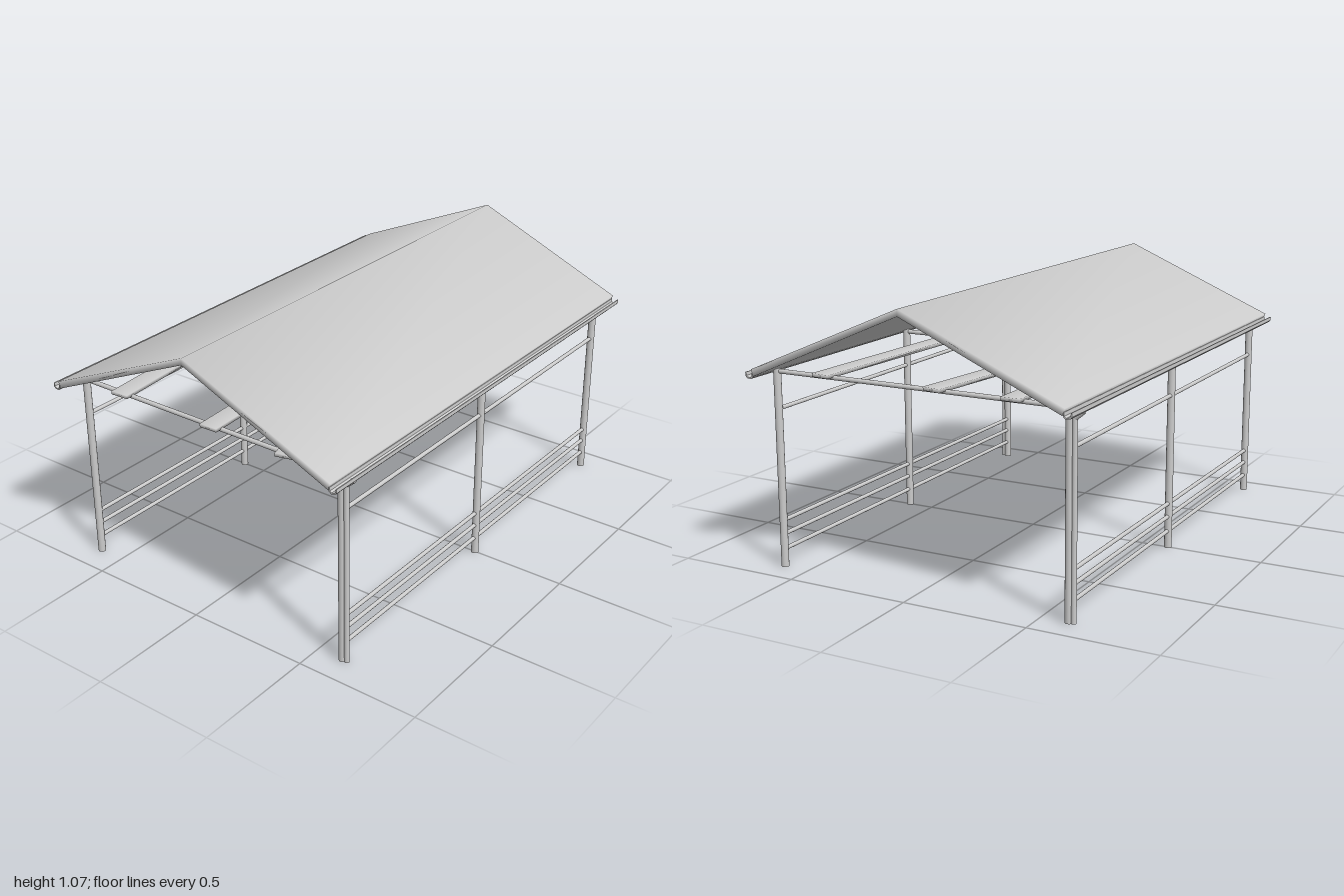
import * as THREE from 'three';
import { mergeVertices } from 'three/addons/utils/BufferGeometryUtils.js';

const material = new THREE.MeshStandardMaterial({ color: 0xcccccc, side: THREE.DoubleSide });
const UP = new THREE.Vector3(0, 1, 0);

// Weld corners so normals blend across edges
function smooth(geo) {
  geo.deleteAttribute('normal');
  geo.deleteAttribute('uv');
  const welded = mergeVertices(geo, 1e-4);
  welded.computeVertexNormals();
  return welded;
}

function add(parent, name, geo) {
  const mesh = new THREE.Mesh(geo, material);
  mesh.name = name;
  parent.add(mesh);
  return mesh;
}

// Round bar between two points
function rod(parent, name, a, b, radius) {
  const from = new THREE.Vector3(...a), to = new THREE.Vector3(...b);
  const dir = to.clone().sub(from);
  const mesh = add(parent, name, new THREE.CylinderGeometry(radius, radius, dir.length(), 16));
  mesh.position.copy(from).add(to).multiplyScalar(0.5);
  mesh.quaternion.setFromUnitVectors(UP, dir.normalize());
  return mesh;
}

// Outline in x/y, extruded over the whole length of the building
function lengthwise(points) {
  const shape = new THREE.Shape(points.map(([x, y]) => new THREE.Vector2(x, y)));
  const geo = new THREE.ExtrudeGeometry(shape, { depth: 2, bevelEnabled: false });
  return geo.translate(0, 0, -1);
}

export function createModel() {
  const model = new THREE.Group();
  model.name = 'openShelter';
  const postX = 0.61, endZ = 0.89;

  // Gable roof sheet
  add(model, 'roof', smooth(lengthwise([
    [-0.645, 0.793], [-0.635, 0.767], [0, 1.043], [0.635, 0.767], [0.645, 0.793], [0, 1.07],
  ])));

  for (const side of [-1, 1]) {
    const wall = new THREE.Group();
    wall.name = side > 0 ? 'leftSide' : 'rightSide';
    model.add(wall);

    // Posts and rails
    for (const z of [-endZ, 0, endZ]) {
      rod(wall, 'post', [side * postX, 0, z], [side * postX, 0.782, z], 0.015);
    }
    for (const y of [0.07, 0.13, 0.185, 0.625]) {
      rod(wall, 'rail', [side * postX, y, -endZ], [side * postX, y, endZ], 0.008);
    }

    // Open gutter along the eave
    add(wall, 'gutter', lengthwise([
      [0.638, 0.78], [0.638, 0.764], [0.648, 0.756], [0.664, 0.758], [0.671, 0.766], [0.671, 0.781],
      [0.667, 0.781], [0.666, 0.768], [0.661, 0.763], [0.65, 0.761], [0.643, 0.767], [0.642, 0.78],
    ].map(([x, y]) => [side * x, y])));

    // Downpipe at one corner of each side, diagonally opposite
    const z = side * endZ;
    const bend = [side * 0.629, 0.735, z];
    rod(wall, 'downpipeElbow', [side * 0.661, 0.762, z], bend, 0.01);
    rod(wall, 'downpipe', bend, [side * 0.629, 0, z], 0.01);
    const joint = add(wall, 'downpipeJoint', new THREE.SphereGeometry(0.01, 12, 8));
    joint.position.set(...bend);
  }

  // Cross beams
  for (const z of [-endZ, 0, endZ]) {
    rod(model, 'crossBeam', [-postX, 0.77, z], [postX, 0.77, z], 0.009);
  }

  // Loose boards resting on the beams: [x at outer end, x at middle beam]
  const boards = {
    1: [[-0.4, -0.46], [0.04, 0], [0.39, 0.14]],
    [-1]: [[-0.4, -0.42], [-0.085, -0.24], [0.39, 0.31]],
  };
  for (const end of [1, -1]) {
    for (const [outer, inner] of boards[end]) {
      const a = new THREE.Vector3(outer, 0.779, end * 0.925);
      const b = new THREE.Vector3(inner, 0.789, -end * 0.03);
      const geo = smooth(new THREE.BoxGeometry(0.075, 0.014, a.distanceTo(b)));
      const board = add(model, 'board', geo);
      board.position.copy(a).add(b).multiplyScalar(0.5);
      board.lookAt(a);
    }
  }
  return model;
}
